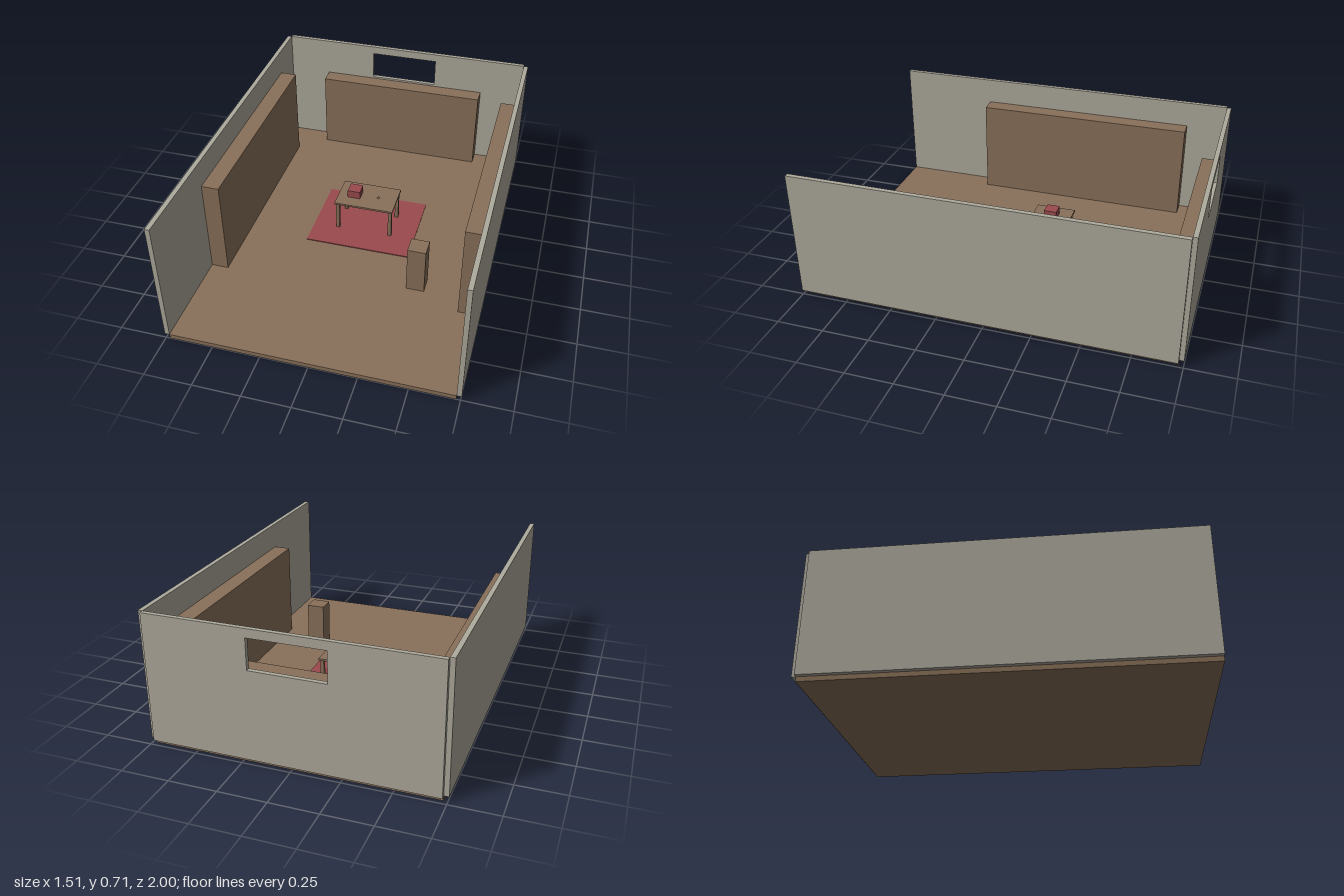
import * as THREE from 'three';

export function createModel() {
  const room = new THREE.Group();
  room.name = 'room';

  const mat = (name, color) => {
    const m = new THREE.MeshStandardMaterial({ color });
    m.name = name;
    return m;
  };
  const plaster = mat('plaster', 0xaeaa9d);
  const wood = mat('wood', 0x8a715a);
  const red = mat('red', 0x9b4a4e);

  // Box given by its lower and upper bounds on each axis
  const box = (name, material, [x0, x1], [y0, y1], [z0, z1], parent = room) => {
    const mesh = new THREE.Mesh(new THREE.BoxGeometry(x1 - x0, y1 - y0, z1 - z0), material);
    mesh.position.set((x0 + x1) / 2, (y0 + y1) / 2, (z0 + z1) / 2);
    mesh.name = name;
    parent.add(mesh);
    return mesh;
  };

  const floorY = 0.025, wallY = 0.706, backZ = -0.976;

  // Floor and rug
  box('floor', wood, [-0.73, 0.73], [0, floorY], [backZ, 1]);
  box('rug', red, [-0.295, 0.295], [floorY, 0.03], [-0.367, 0.12]);

  // Back wall with a window opening
  const outline = new THREE.Shape();
  outline.moveTo(-0.73, floorY).lineTo(0.73, floorY).lineTo(0.73, wallY).lineTo(-0.73, wallY).closePath();
  const opening = new THREE.Path();
  opening.moveTo(-0.196, 0.498).lineTo(-0.196, 0.66).lineTo(0.196, 0.66).lineTo(0.196, 0.498).closePath();
  outline.holes.push(opening);
  const backWall = new THREE.Mesh(
    new THREE.ExtrudeGeometry(outline, { depth: 0.024, bevelEnabled: false }), plaster);
  backWall.position.z = -1;
  backWall.name = 'backWall';
  room.add(backWall);

  // Side walls and the tall cases standing against them
  for (const [side, s] of [['left', 1], ['right', -1]]) {
    const span = (a, b) => (s > 0 ? [a, b] : [-b, -a]);
    box(side + 'Wall', plaster, span(0.73, 0.755), [floorY, wallY], [backZ, 1]);
    box(side + 'Bookcase', wood, span(0.637, 0.73), [floorY, 0.563], [-0.76, 0.46]);
  }
  box('backBookcase', wood, [-0.487, 0.487], [floorY, 0.487], [backZ, -0.885]);

  // Pedestal
  box('pedestal', wood, [0.339, 0.437], [floorY, 0.292], [0.263, 0.36]);

  // Table with four legs
  const table = new THREE.Group();
  table.name = 'table';
  room.add(table);
  box('tableTop', wood, [-0.169, 0.167], [0.201, 0.212], [-0.235, -0.018], table);
  for (const x of [-0.154, 0.151]) {
    for (const z of [-0.214, -0.04]) {
      box('tableLeg', wood, [x - 0.01, x + 0.01], [floorY, 0.201], [z - 0.01, z + 0.01], table);
    }
  }

  // Things on the table
  box('redBox', red, [-0.111, -0.039], [0.212, 0.257], [-0.161, -0.09]);
  const knob = new THREE.Mesh(new THREE.SphereGeometry(0.008, 12, 8), wood);
  knob.position.set(0.059, 0.212, -0.126);
  knob.name = 'smallKnob';
  room.add(knob);

  return room;
}
